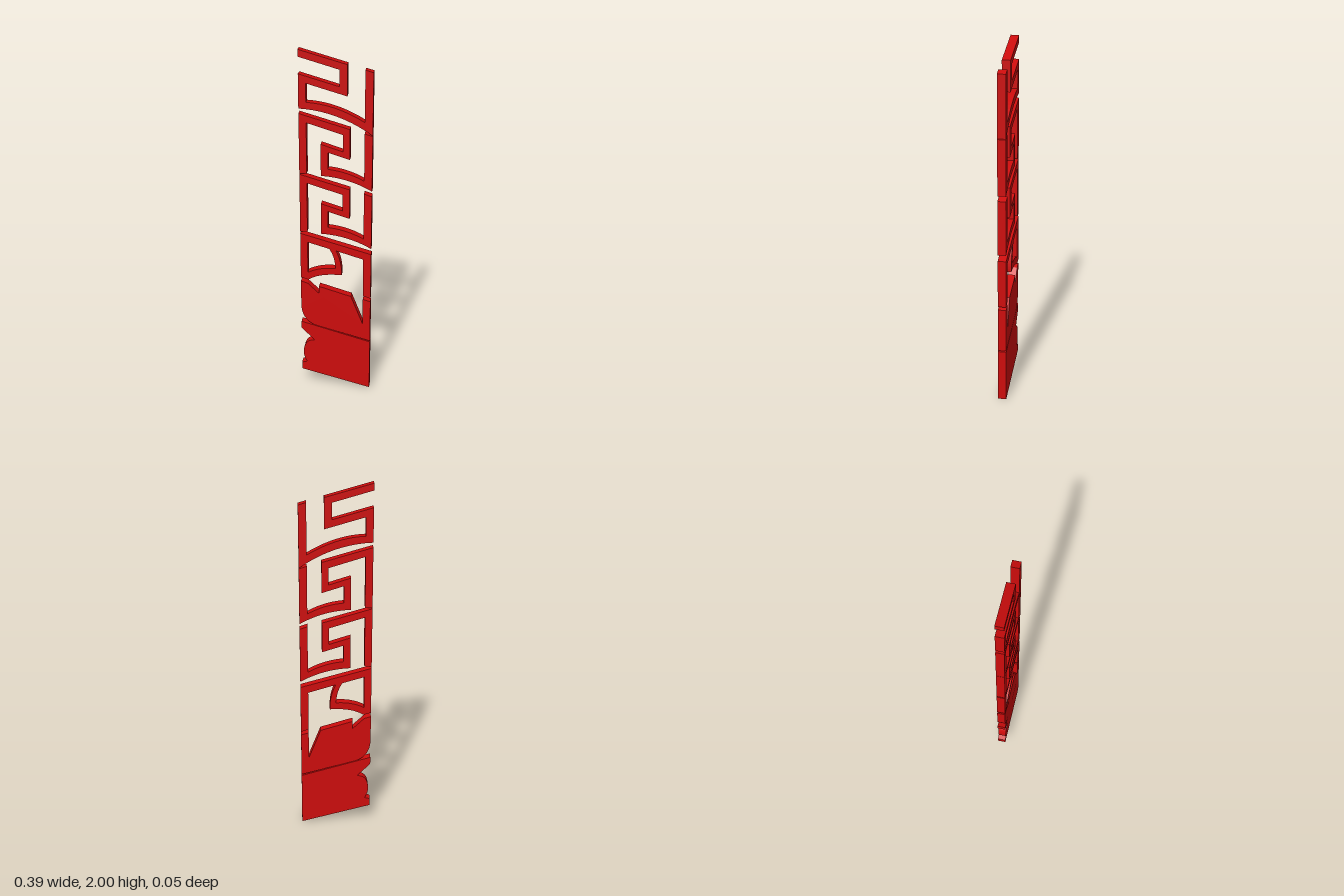
import * as THREE from 'three';

const DEPTH = 0.046;

// Outline from points: [x, y] is a straight step, [cx, cy, x, y] a curved one.
function trace(path, points) {
  points.forEach((p, i) => {
    if (i === 0) path.moveTo(p[0], p[1]);
    else if (p.length === 2) path.lineTo(p[0], p[1]);
    else path.quadraticCurveTo(...p);
  });
  path.closePath();
  return path;
}

export function createModel() {
  const group = new THREE.Group();
  group.name = 'fretPanel';
  const red = new THREE.MeshStandardMaterial({ color: 0xcc0c0c });

  function addPlate(name, outline, hole, y = 0) {
    const shape = trace(new THREE.Shape(), outline);
    if (hole) shape.holes.push(trace(new THREE.Path(), hole));
    const geo = new THREE.ExtrudeGeometry(shape, { depth: DEPTH, bevelEnabled: false, curveSegments: 10 });
    geo.translate(0, y, -DEPTH / 2);
    const mesh = new THREE.Mesh(geo, red);
    mesh.name = name;
    group.add(mesh);
  }

  // Open meander at the top
  addPlate('topMeander', [
    [-0.197, 2.0], [0.06, 1.928], [0.06, 1.76], [-0.157, 1.822], [-0.157, 1.72],
    [0.0, 1.715, 0.152, 1.622], [0.152, 1.903], [0.195, 1.89], [0.195, 1.55],
    [0.01, 1.68, -0.197, 1.685], [-0.197, 1.872], [0.02, 1.81], [0.02, 1.9], [-0.197, 1.962],
  ]);

  // Two identical spiral meanders
  [0, -0.341].forEach((y, i) => addPlate(`spiralMeander${i + 1}`, [
    [-0.197, 1.658], [0.075, 1.58], [0.075, 1.41], [-0.043, 1.447], [-0.043, 1.352],
    [0.06, 1.344, 0.152, 1.293], [0.152, 1.56], [0.195, 1.546], [0.195, 1.235],
    [0.07, 1.308, -0.081, 1.313], [-0.081, 1.492], [0.037, 1.455], [0.037, 1.549],
    [-0.157, 1.608], [-0.157, 1.323], [-0.197, 1.32],
  ], null, y));

  // Hooked frame with a curved window
  addPlate('hookFrame', [
    [-0.197, 0.968], [0.195, 0.86], [0.195, 0.585], [0.152, 0.6], [0.152, 0.827],
    [0.0, 0.872], [0.033, 0.81, 0.033, 0.723], [-0.09, 0.73, -0.155, 0.685], [-0.197, 0.697],
  ], [
    [-0.157, 0.916], [-0.157, 0.73], [-0.09, 0.767, -0.002, 0.762], [-0.005, 0.835, -0.037, 0.882],
  ]);

  // Solid leaf-shaped plate with a side bar
  addPlate('leafPlate', [
    [-0.197, 0.673], [-0.16, 0.662], [-0.072, 0.578], [-0.095, 0.592], [-0.095, 0.645],
    [0.085, 0.592], [0.152, 0.42], [0.152, 0.578], [0.195, 0.566], [0.195, 0.312],
    [-0.115, 0.395], [-0.197, 0.425, -0.197, 0.53],
  ]);

  // Solid base plate with a rounded lobe on one edge
  addPlate('basePlate', [
    [-0.197, 0.414], [0.195, 0.305], [0.195, 0], [-0.197, 0.1], [-0.197, 0.142],
    [-0.166, 0.15], [-0.187, 0.18, -0.187, 0.22], [-0.18, 0.298, -0.122, 0.296], [-0.197, 0.372],
  ]);

  return group;
}
